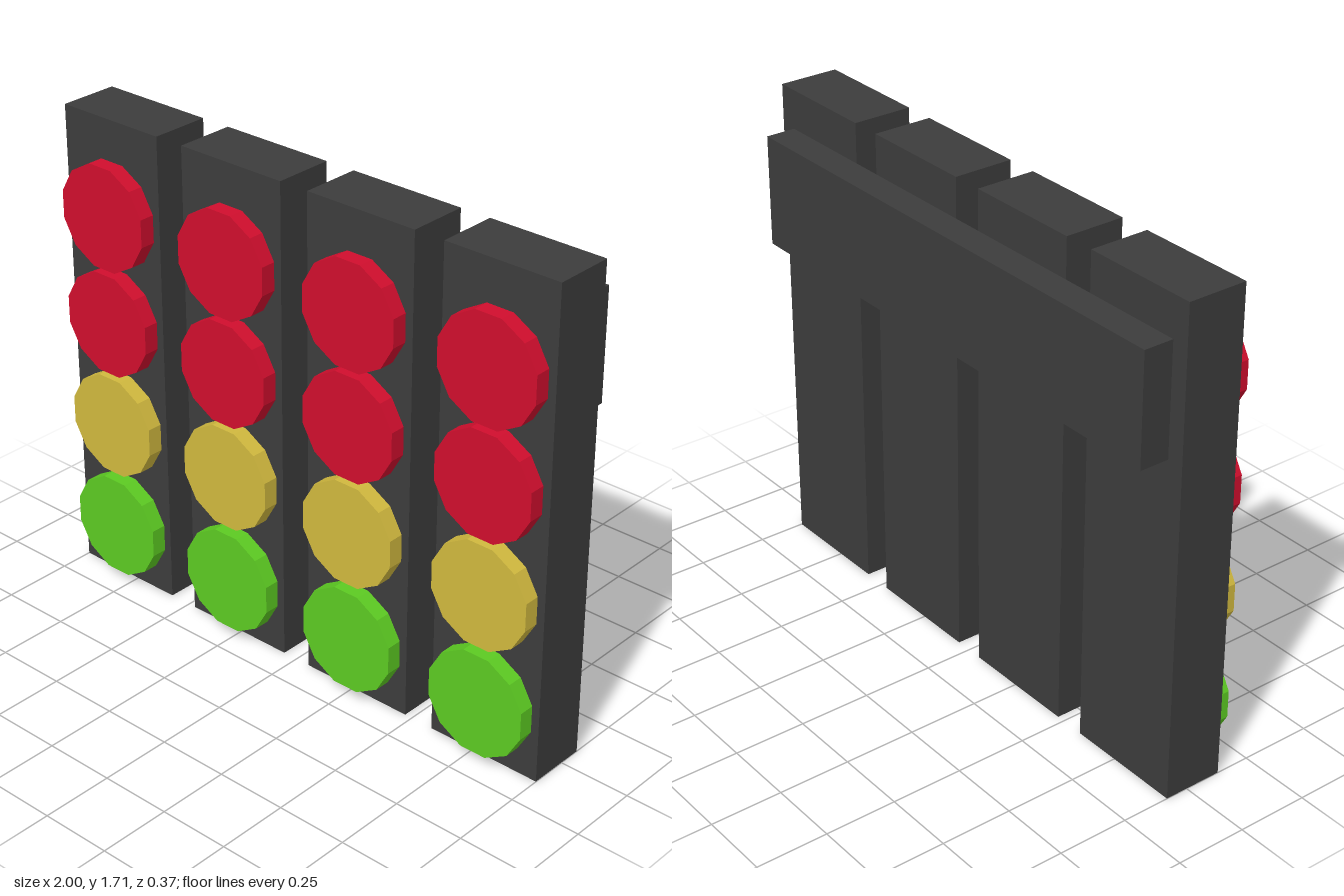
import * as THREE from 'three';

export function createModel() {
  const material = (name, color) => {
    const m = new THREE.MeshStandardMaterial({ color, flatShading: true });
    m.name = name;
    return m;
  };
  const housingGrey = material('housing grey', 0x3c3c3c);
  const red = material('lamp red', 0xd00e2d);
  const yellow = material('lamp yellow', 0xd0b83e);
  const green = material('lamp green', 0x5cca22);

  const model = new THREE.Group();
  model.name = 'signalLights';

  const add = (parent, name, geometry, mat, x, y, z) => {
    const mesh = new THREE.Mesh(geometry, mat);
    mesh.name = name;
    mesh.position.set(x, y, z);
    parent.add(mesh);
  };

  const housing = new THREE.BoxGeometry(0.418, 1.705, 0.21);
  // Twelve-sided lamp facing +z, with flats at the top and sides
  const lamp = new THREE.CylinderGeometry(0.187, 0.187, 0.055, 12, 1, false, Math.PI / 12);
  lamp.rotateX(Math.PI / 2);

  const lamps = [
    ['upperRedLamp', red, 1.38],
    ['lowerRedLamp', red, 0.998],
    ['yellowLamp', yellow, 0.617],
    ['greenLamp', green, 0.222],
  ];

  // Four identical light columns
  for (let i = 0; i < 4; i++) {
    const column = new THREE.Group();
    column.name = `lightColumn${i + 1}`;
    column.position.x = (i - 1.5) * 0.527;
    add(column, 'housing', housing, housingGrey, 0, 0.8525, 0.025);
    for (const [name, mat, y] of lamps) add(column, name, lamp, mat, 0, y, 0.1575);
    model.add(column);
  }

  // Bar joining the columns at the back
  add(model, 'backBar', new THREE.BoxGeometry(1.88, 0.387, 0.105), housingGrey, 0, 1.373, -0.1325);

  return model;
}
